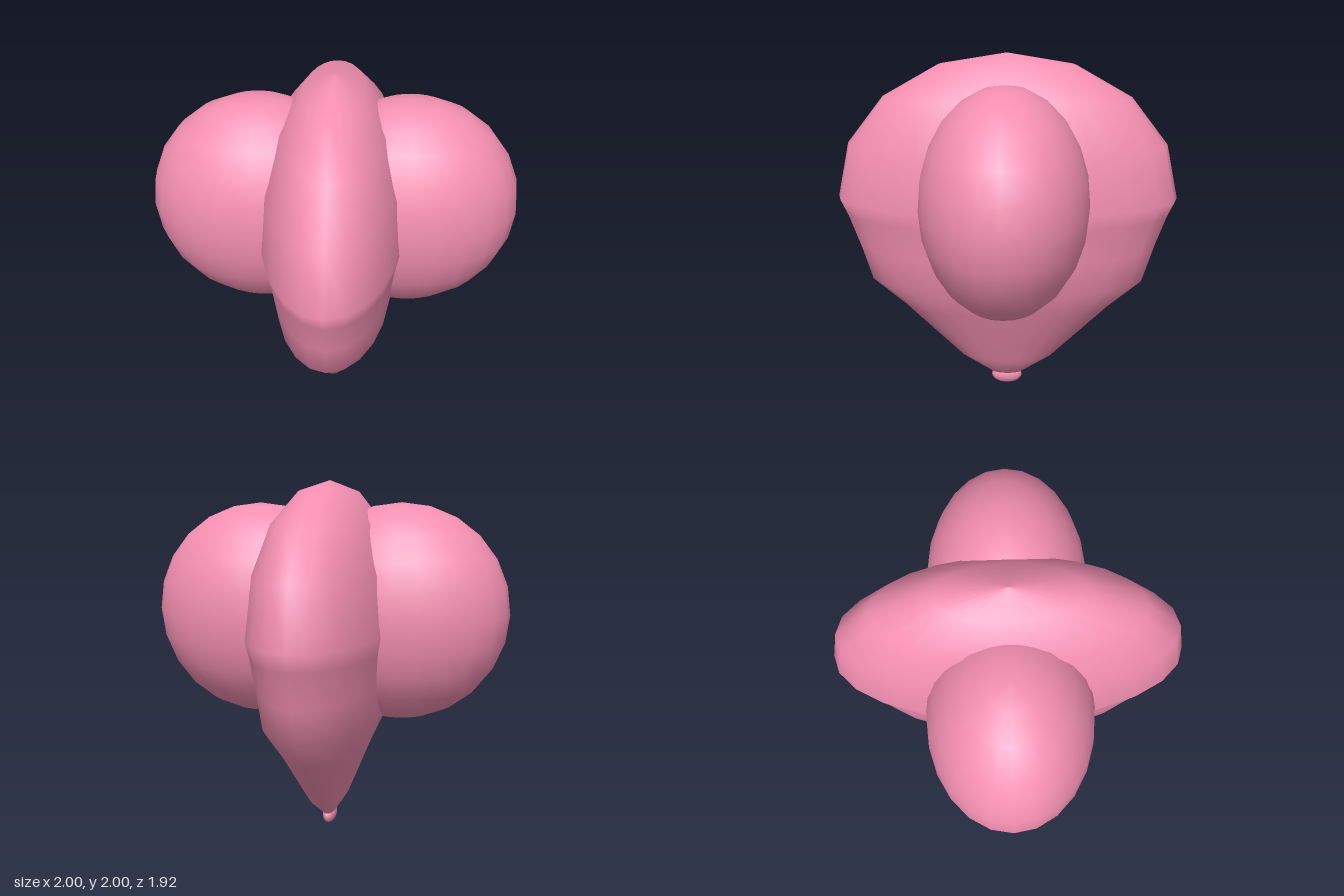
import * as THREE from 'three';

export function createModel() {
  const model = new THREE.Group();
  const material = new THREE.MeshStandardMaterial({ color: 0xf48fb1 });

  function add(name, geometry, x = 0, y = 0) {
    const mesh = new THREE.Mesh(geometry, material);
    mesh.name = name;
    mesh.position.set(x, y, 0);
    model.add(mesh);
  }

  function ellipsoid(rx, ry, rz, across, up) {
    return new THREE.SphereGeometry(1, across, up).scale(rx, ry, rz);
  }

  // Body: tapering lower bag with an elliptical dome, flattened sideways
  const profile = [
    [0, 0.06], [0.09, 0.08], [0.27, 0.2], [0.61, 0.55], [0.8, 0.72],
    [0.855, 0.915], [0.92, 1.11],
  ].map(([r, y]) => new THREE.Vector2(r, y));
  for (let i = 0; i <= 4; i++) {
    const a = (i * Math.PI) / 8;
    profile.push(new THREE.Vector2(i === 4 ? 0 : 0.96 * Math.cos(a), 1.2 + 0.8 * Math.sin(a)));
  }
  add('body', new THREE.LatheGeometry(profile, 24).scale(0.4167, 1, 1));

  // Rounded knob at the bottom point
  add('tip', ellipsoid(0.04, 0.055, 0.092, 16, 10), 0, 0.055);

  // Large side lobes
  for (const side of [1, -1]) {
    add(side > 0 ? 'leftLobe' : 'rightLobe', ellipsoid(0.6, 0.6, 0.44, 24, 12), side * 0.4, 1.28);
  }

  return model;
}
